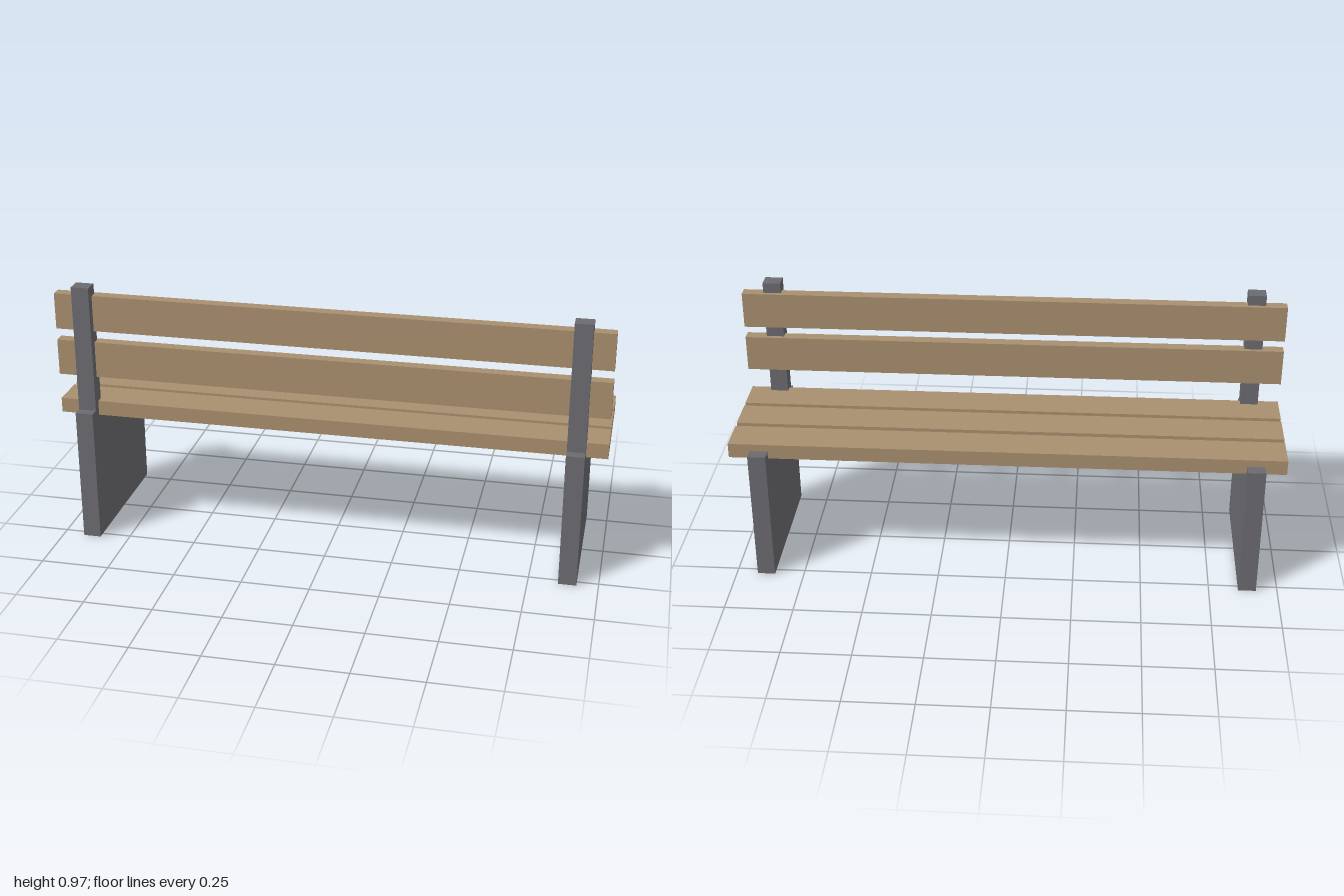
import * as THREE from 'three';

export function createModel() {
  const bench = new THREE.Group();
  bench.name = 'bench';

  const wood = new THREE.MeshStandardMaterial({ color: 0xa98f6f });
  wood.name = 'wood';
  const concrete = new THREE.MeshStandardMaterial({ color: 0x6c6b70 });
  concrete.name = 'dark grey';

  // Box given by its centre x, width, and its y and z extents
  function addBox(name, material, x, width, [y0, y1], [z0, z1]) {
    const mesh = new THREE.Mesh(new THREE.BoxGeometry(width, y1 - y0, z1 - z0), material);
    mesh.position.set(x, (y0 + y1) / 2, (z0 + z1) / 2);
    mesh.name = name;
    bench.add(mesh);
  }

  // Solid end panels, each with a backrest post on top
  for (const [side, sign] of [['left', 1], ['right', -1]]) {
    addBox(`${side}LegPanel`, concrete, sign * 0.89, 0.065, [0, 0.501], [-0.277, 0.277]);
    addBox(`${side}BackPost`, concrete, sign * 0.89, 0.065, [0.501, 0.973], [0.184, 0.24]);
  }

  // Three seat planks, let slightly into the panels
  [0.144, -0.011, -0.167].forEach((z, i) =>
    addBox(`seatPlank${i + 1}`, wood, 0, 2, [0.473, 0.528], [z - 0.067, z + 0.067]));

  // Two backrest planks
  [0.691, 0.868].forEach((y, i) =>
    addBox(`backPlank${i + 1}`, wood, 0, 2, [y - 0.067, y + 0.067], [0.169, 0.211]));

  return bench;
}
